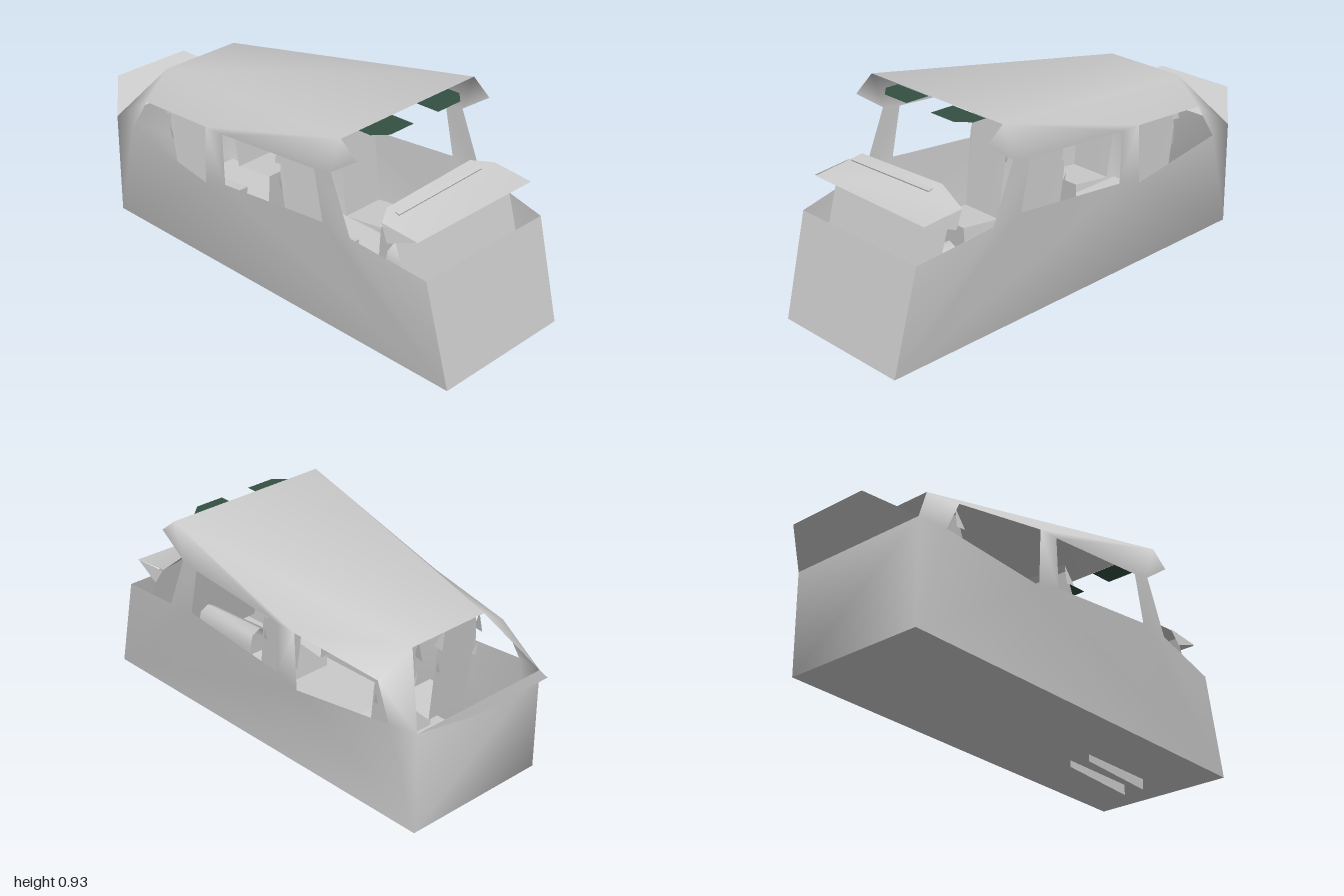
import * as THREE from 'three';

const grey = new THREE.MeshStandardMaterial({ color: 0xcccccc, side: THREE.DoubleSide });
const green = new THREE.MeshStandardMaterial({ color: 0x355043, side: THREE.DoubleSide });

function mesh(name, points, index, material = grey) {
  const g = new THREE.BufferGeometry();
  g.setAttribute('position', new THREE.Float32BufferAttribute(points.flat(), 3));
  g.setIndex(index.flat());
  g.computeVertexNormals();
  const m = new THREE.Mesh(g, material);
  m.name = name;
  return m;
}

// Thin flat panel from a convex outline
function sheet(name, points, material) {
  const index = [];
  for (let i = 1; i < points.length - 1; i++) index.push([0, i, i + 1]);
  return mesh(name, points, index, material);
}

const flipX = ([x, y, z]) => [-x, y, z];

// Sides, roof and rear wall in one smooth skin, with window openings
function cabinShell() {
  const side = [
    [0.33, 0.04, 1], [0.34, 0.47, 0.89], [0.38, 0.53, 0.55],               // 0-2 front and belt
    [0.38, 0.77, 0.45], [0.38, 0.86, 0.58], [0.38, 0.925, 0.5],            // 3-5 windscreen pillar, brow
    [0.19, 0.78, -0.67], [0.33, 0.55, -0.845], [0.33, 0.105, -0.845],      // 6-8 rear
    [0.38, 0.755, 0.365], [0.38, 0.725, -0.135], [0.38, 0.505, -0.125], [0.38, 0.545, 0.41], // 9-12 front window
    [0.38, 0.725, -0.23], [0.335, 0.685, -0.64], [0.352, 0.54, -0.72], [0.38, 0.475, -0.24], // 13-16 rear window
  ];
  const tris = [
    [0, 2, 1], [0, 12, 2], [0, 11, 12], [0, 16, 11], [0, 8, 16], [8, 15, 16], [8, 7, 15],
    [7, 6, 14], [7, 14, 15], [14, 6, 13], [6, 5, 13], [13, 5, 10], [10, 5, 9], [9, 5, 3], [3, 5, 4],
    [11, 16, 13], [11, 13, 10], [2, 12, 9], [2, 9, 3],
  ];
  const n = side.length;
  const mirrored = tris.map(([a, b, c]) => [a + n, c + n, b + n]);
  const roof = [[5, 6, 6 + n], [5, 6 + n, 5 + n]];
  const rear = [[8, 8 + n, 7 + n], [8, 7 + n, 7]];
  return mesh('cabinShell', [...side, ...side.map(flipX)], [...tris, ...mirrored, ...roof, ...rear]);
}

// Dashboard cover: sloping top with drooping ends
function dashboard() {
  const g = new THREE.Group();
  g.name = 'dashboard';
  g.add(sheet('dashTop', [
    [-0.33, 0.6, 0.83], [0.33, 0.605, 0.84], [0.33, 0.625, 0.66], [0.2, 0.675, 0.64],
    [-0.28, 0.655, 0.64], [-0.335, 0.615, 0.665],
  ]));
  for (const s of [-1, 1]) {
    g.add(sheet('dashEnd', [[s * 0.33, 0.605, 0.835], [s * 0.333, 0.622, 0.663], [s * 0.345, 0.555, 0.7]]));
  }
  g.add(sheet('dashFront', [[-0.33, 0.6, 0.72], [0.33, 0.6, 0.72], [0.32, 0.08, 0.87], [-0.32, 0.08, 0.87]]));
  // Vent strip along the top
  const vent = new THREE.Mesh(new THREE.BoxGeometry(0.47, 0.006, 0.02), grey);
  vent.name = 'dashVent';
  vent.position.set(-0.04, 0.655, 0.69);
  vent.rotation.set(0.3, 0, 0.04);
  g.add(vent);
  return g;
}

// Thin seat: leaning back with narrow wings, cushion and front skirt
function seat(name, x, z) {
  const g = new THREE.Group();
  g.name = name;
  g.add(
    sheet('seatBack', [[-0.1, 0.28, 0.05], [0.1, 0.28, 0.05], [0.11, 0.6, 0.01], [0.09, 0.7, 0], [-0.09, 0.7, 0], [-0.11, 0.6, 0.01]]),
    sheet('seatTop', [[-0.09, 0.7, 0], [0.09, 0.7, 0], [0.095, 0.72, -0.02], [-0.095, 0.72, -0.02]]),
    sheet('seatCushion', [[-0.1, 0.28, 0.05], [0.1, 0.28, 0.05], [0.1, 0.3, 0.24], [-0.1, 0.3, 0.24]]),
    sheet('seatSkirt', [[-0.1, 0.3, 0.24], [0.1, 0.3, 0.24], [0.09, 0.09, 0.22], [-0.09, 0.09, 0.22]]),
  );
  for (const s of [-1, 1]) {
    g.add(sheet('seatWing', [[s * 0.095, 0.72, -0.015], [s * 0.11, 0.635, 0.025], [s * 0.11, 0.63, -0.02]]));
    g.add(sheet('seatWing', [[s * 0.11, 0.58, 0], [s * 0.1, 0.52, 0.02], [s * 0.1, 0.52, 0]]));
  }
  g.position.set(x, 0, z);
  return g;
}

// Rounded tunnel between the front seats, open below
function console_() {
  const profile = [[-0.05, 0], [-0.055, 0.2], [-0.04, 0.26], [0, 0.28], [0.04, 0.26], [0.055, 0.2], [0.05, 0]];
  const pts = [], index = [];
  profile.forEach(([x, y], i) => {
    pts.push([x, y, 0.8], [x, y + 0.03, 0.44]);
    if (i) index.push([2 * i - 2, 2 * i, 2 * i + 1], [2 * i - 2, 2 * i + 1, 2 * i - 1]);
  });
  return mesh('centreConsole', pts, index);
}

export function createModel() {
  const model = new THREE.Group();
  model.name = 'vehicleCabin';
  model.add(
    cabinShell(),
    sheet('frontPanel', [[-0.33, 0.04, 1], [0.33, 0.04, 1], [0.34, 0.47, 0.89], [-0.34, 0.47, 0.89]]),
    sheet('floor', [[-0.33, 0.04, 1], [-0.33, 0.105, -0.845], [0.33, 0.105, -0.845], [0.33, 0.04, 1]]),
    // Raised rear hatch
    sheet('rearHatch', [[-0.33, 0.55, -0.845], [0.33, 0.55, -0.845], [0.19, 0.645, -1], [-0.19, 0.645, -1]]),
    dashboard(),
    console_(),
  );
  // Sun visors under the roof edge
  const visor = [[0.07, 0.905, 0.47], [0.07, 0.905, 0.58], [0.2, 0.905, 0.58], [0.255, 0.905, 0.53], [0.255, 0.905, 0.47]];
  model.add(sheet('leftSunVisor', visor, green), sheet('rightSunVisor', visor.map(flipX), green));
  // Two rows of seats
  for (const [row, z] of [['front', 0.07], ['rear', -0.57]]) {
    model.add(seat(row + 'LeftSeat', 0.165, z), seat(row + 'RightSeat', -0.165, z));
  }
  return model;
}
